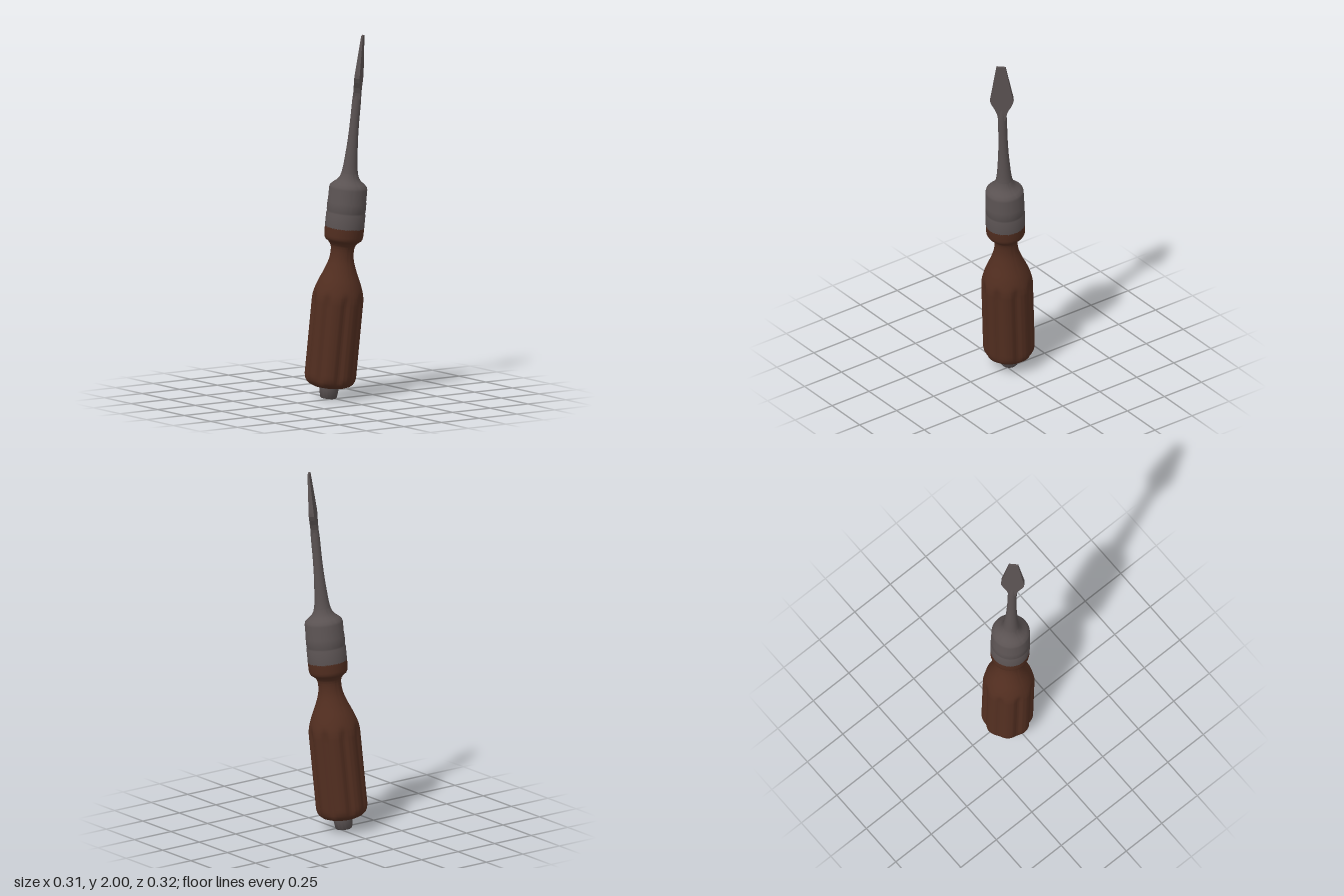
import * as THREE from 'three';
import { mergeVertices, toCreasedNormals } from 'three/addons/utils/BufferGeometryUtils.js';

const wood = new THREE.MeshStandardMaterial({ color: 0x522e20 });
wood.name = 'brown wood';
const steel = new THREE.MeshStandardMaterial({ color: 0x5a5252 });
steel.name = 'dark steel';

const toPoints = (pairs) => pairs.map(([r, y]) => new THREE.Vector2(r, y));

function addMesh(group, name, geometry, material) {
  const mesh = new THREE.Mesh(geometry, material);
  mesh.name = name;
  group.add(mesh);
  return mesh;
}

// Turned part with sharp edges kept
function turned(pairs, segments = 48) {
  return toCreasedNormals(new THREE.LatheGeometry(toPoints(pairs), segments), 0.6);
}

// Turned grip with eight flutes pressed into its barrel
function gripGeometry() {
  const barrel = [];
  for (let i = 0; i <= 22; i++) barrel.push([0.14, 0.125 + (i / 22) * 0.425]);
  const shoulder = new THREE.SplineCurve(toPoints([
    [0.14, 0.55], [0.134, 0.585], [0.116, 0.64], [0.088, 0.705], [0.069, 0.76],
    [0.063, 0.805], [0.066, 0.84], [0.08, 0.862], [0.098, 0.876],
  ])).getPoints(40).slice(1);
  const profile = [
    ...toPoints([[0.03, 0.058], [0.06, 0.06], [0.09, 0.066], [0.112, 0.075],
      [0.127, 0.087], [0.136, 0.103]]),
    ...toPoints(barrel), ...shoulder,
    ...toPoints([[0.104, 0.888], [0.106, 0.9], [0.107, 0.947], [0.095, 0.948]]),
  ];
  let geometry = new THREE.LatheGeometry(profile, 128);
  geometry.deleteAttribute('uv');
  geometry.deleteAttribute('normal');
  geometry = mergeVertices(geometry, 1e-5);
  const p = geometry.attributes.position;
  const pitch = Math.PI / 4;
  const phase = THREE.MathUtils.degToRad(75);
  for (let i = 0; i < p.count; i++) {
    const x = p.getX(i), y = p.getY(i), z = p.getZ(i);
    const turn = (Math.atan2(-z, x) - phase) / pitch;
    const offset = (turn - Math.round(turn)) * pitch;
    const fade = THREE.MathUtils.smoothstep(y, 0.07, 0.12)
      * (1 - THREE.MathUtils.smoothstep(y, 0.53, 0.61));
    const r = Math.hypot(x, z);
    const k = 1 - (0.014 * fade * Math.exp(-((offset / 0.16) ** 2))) / r;
    p.setXYZ(i, x * k, y, z * k);
  }
  geometry.computeVertexNormals();
  return toCreasedNormals(geometry, 0.7);
}

// Flat blade: outline extruded, then thinned toward the tip
function bladeGeometry() {
  const side = [[0.02, 1.655], [0.025, 1.69], [0.036, 1.72], [0.053, 1.75],
    [0.063, 1.775], [0.062, 1.795], [0.025, 2.004]];
  const mirrored = side.map(([x, y]) => [-x, y]).reverse();
  const geometry = new THREE.ExtrudeGeometry(
    new THREE.Shape(toPoints([...side, ...mirrored])),
    { depth: 1, bevelEnabled: false },
  );
  const p = geometry.attributes.position;
  for (let i = 0; i < p.count; i++) {
    const t = (p.getY(i) - 1.655) / 0.349;
    p.setZ(i, (p.getZ(i) - 0.5) * 2 * THREE.MathUtils.lerp(0.02, 0.005, t));
  }
  geometry.computeVertexNormals();
  return geometry;
}

export function createModel() {
  const model = new THREE.Group();
  model.name = 'screwdriver';
  const tool = new THREE.Group();
  tool.name = 'leaningTool';
  model.add(tool);

  addMesh(tool, 'grip', gripGeometry(), wood);

  // Metal stub under the grip
  addMesh(tool, 'endCap', turned([
    [0, 0], [0.041, 0], [0.046, 0.006], [0.052, 0.05], [0.052, 0.07],
  ], 32), steel);

  // Banded collar with a domed shoulder
  addMesh(tool, 'collar', turned([
    [0.09, 0.944], [0.107, 0.944], [0.107, 1.02], [0.1045, 1.026], [0.1045, 1.034],
    [0.106, 1.04], [0.106, 1.085], [0.104, 1.092], [0.104, 1.16], [0.1, 1.174],
    [0.085, 1.188], [0.066, 1.203], [0.052, 1.222], [0.045, 1.245],
  ], 64), steel);

  // Round shank narrowing into the blade
  const shank = new THREE.SplineCurve(toPoints([
    [0.046, 1.24], [0.04, 1.275], [0.034, 1.34], [0.028, 1.43], [0.025, 1.53],
    [0.024, 1.65], [0.019, 1.71], [0.011, 1.76],
  ])).getPoints(30);
  addMesh(tool, 'shank', new THREE.LatheGeometry(shank, 32), steel);

  const blade = addMesh(tool, 'blade', bladeGeometry(), steel);
  blade.rotation.y = Math.PI / 4;

  // Lean the whole tool toward the front left
  tool.quaternion.setFromUnitVectors(
    new THREE.Vector3(0, 1, 0),
    new THREE.Vector3(0.062, 1, 0.075).normalize(),
  );
  tool.position.set(-0.024, 0.004, -0.03);
  return model;
}
